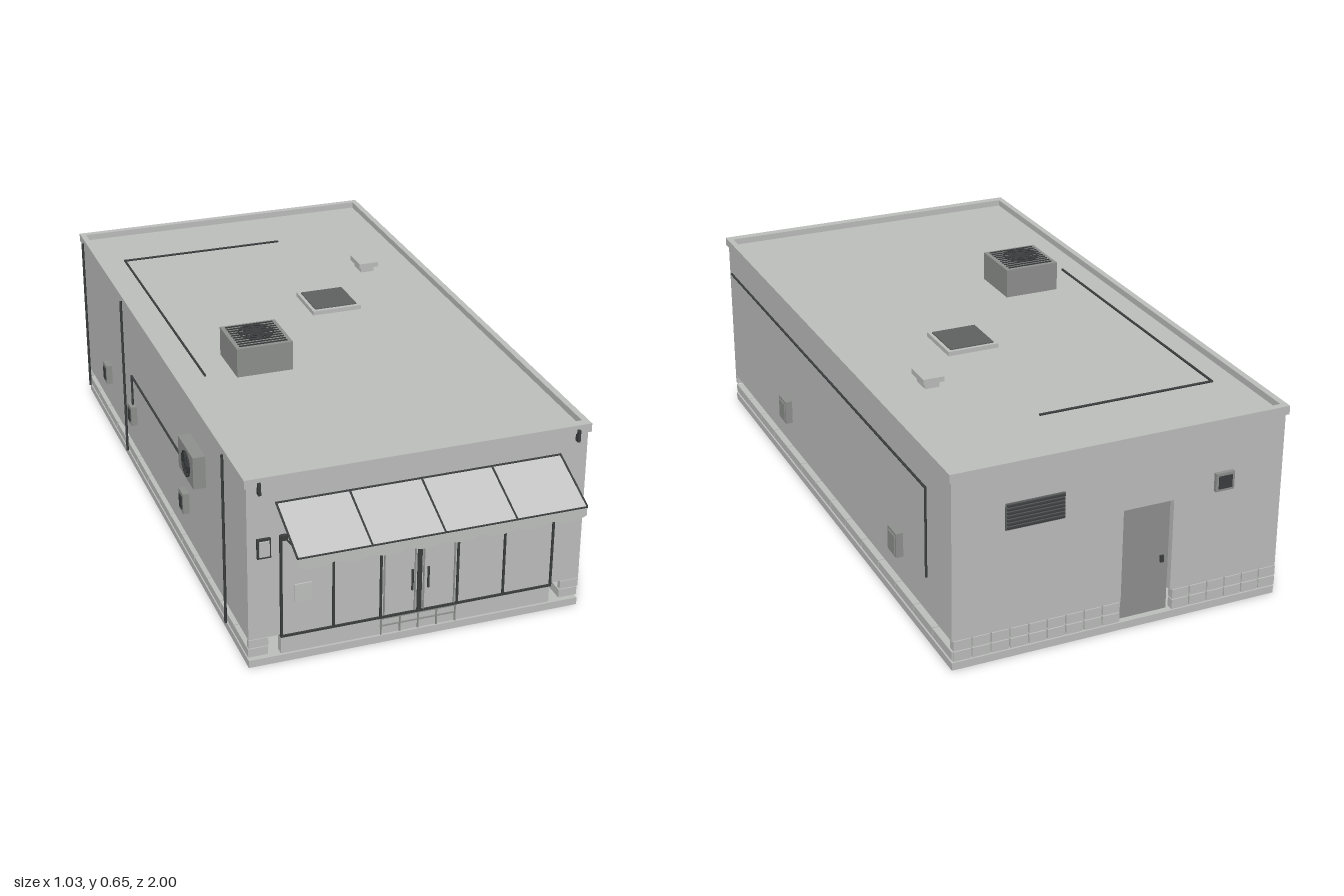
import * as THREE from 'three';

const mat = (name, color) => new THREE.MeshStandardMaterial({ name, color });

export function createModel() {
  const root = new THREE.Group();
  root.name = 'shopBuilding';
  const wall = mat('wallGrey', 0xbfc1bf);
  const awningMat = mat('awningGrey', 0xc2c4c2);
  awningMat.side = THREE.DoubleSide;
  const metal = mat('metalGrey', 0x909290);
  const dark = mat('charcoal', 0x3c3e3f);
  const grille = mat('grilleGrey', 0x606363);

  let parent = root;
  const part = (name) => {
    parent = new THREE.Group();
    parent.name = name;
    root.add(parent);
  };
  const add = (name, geo, m) => {
    const mesh = new THREE.Mesh(geo, m);
    mesh.name = name;
    parent.add(mesh);
    return mesh;
  };
  // box given by its limits on each axis
  const box = (name, m, x0, x1, y0, y1, z0, z1) => {
    const b = add(name, new THREE.BoxGeometry(x1 - x0, y1 - y0, z1 - z0), m);
    b.position.set((x0 + x1) / 2, (y0 + y1) / 2, (z0 + z1) / 2);
    return b;
  };
  // round bars through a list of points
  const pipe = (name, m, r, ...pts) => {
    for (let i = 0; i + 1 < pts.length; i++) {
      const a = new THREE.Vector3(...pts[i]), b = new THREE.Vector3(...pts[i + 1]);
      const d = b.clone().sub(a);
      const c = add(name, new THREE.CylinderGeometry(r, r, d.length() + r, 8), m);
      c.position.copy(a).add(b).multiplyScalar(0.5);
      c.quaternion.setFromUnitVectors(new THREE.Vector3(0, 1, 0), d.normalize());
    }
  };
  // fan lying in its own xy plane: rings, hub and blades
  const fan = (name, r, blades) => {
    const g = new THREE.Group();
    g.name = name;
    const outer = parent;
    outer.add(g);
    parent = g;
    for (const k of [1, 0.7, 0.4]) add('fanRing', new THREE.TorusGeometry(r * k, 0.0025, 6, 28), dark);
    add('fanHub', new THREE.CylinderGeometry(r * 0.22, r * 0.22, 0.006, 16), dark).rotation.x = Math.PI / 2;
    for (let i = 0; i < blades; i++) {
      const a = (i / blades) * Math.PI * 2;
      const b = add('fanBlade', new THREE.BoxGeometry(r * 0.8, r * 0.2, 0.003), dark);
      b.position.set(Math.cos(a) * r * 0.55, Math.sin(a) * r * 0.55, 0);
      b.rotation.z = a;
    }
    parent = outer;
    return g;
  };

  // ground slab
  part('foundation');
  box('slab', wall, -0.475, 0.49, 0, 0.022, -0.985, 0.825);
  // brick skirt: one course along the sides, two at the corners and the back
  for (const [x0, x1] of [[-0.475, -0.42], [0.435, 0.49]]) {
    for (let i = 0; i < 14; i++) {
      const z = -0.983 + i * 0.129;
      box('sideBrick', wall, x0, x1, 0.03, 0.055, z, z + 0.126);
    }
    box('cornerBrick', wall, x0, x1, 0.061, 0.085, 0.81, 0.825);
  }
  for (const [x0, x1, n] of [[-0.475, -0.15, 6], [0.005, 0.49, 9]]) {
    const w = (x1 - x0) / n;
    for (let row = 0; row < 2; row++)
      for (let i = 0; i < n; i++)
        box('backBrick', wall, x0 + i * w, x0 + (i + 1) * w - 0.004,
          0.027 + row * 0.031, 0.055 + row * 0.031, -0.987, -0.965);
  }

  // walls around a hollow room
  part('walls');
  box('leftWall', wall, 0.46, 0.49, 0.087, 0.55, -0.985, 0.825);
  box('rightWall', wall, -0.475, -0.445, 0.087, 0.55, -0.985, 0.825);
  box('frontWall', wall, -0.445, 0.46, 0.087, 0.55, 0.79, 0.825);
  box('backWallLeft', wall, 0.002, 0.46, 0.087, 0.55, -0.985, -0.955);
  box('backWallRight', wall, -0.445, -0.147, 0.087, 0.55, -0.985, -0.955);
  box('backWallHeader', wall, -0.147, 0.002, 0.36, 0.55, -0.985, -0.955);
  box('floor', wall, -0.445, 0.46, 0.087, 0.095, -0.95, 0.79);
  box('backDoor', metal, -0.147, 0.002, 0.022, 0.36, -0.966, -0.955);
  box('doorKnob', dark, -0.132, -0.122, 0.17, 0.19, -0.972, -0.966);

  // flat roof inside a raised rim
  part('roof');
  box('roofDeck', wall, -0.47, 0.485, 0.54, 0.553, -0.98, 0.82);
  for (const [x0, x1] of [[-0.482, -0.464], [0.479, 0.497]])
    box('rim', wall, x0, x1, 0.547, 0.572, -0.992, 0.832);
  for (const [z0, z1] of [[-0.992, -0.972], [0.806, 0.832]])
    box('rim', wall, -0.464, 0.479, 0.547, 0.572, z0, z1);
  pipe('roofCable', dark, 0.0035, [-0.39, 0.557, 0.17], [-0.39, 0.557, -0.745], [0.13, 0.557, -0.745]);

  // roof cooling unit
  part('roofUnit');
  box('unitCase', metal, -0.305, -0.138, 0.55, 0.64, 0.04, 0.207);
  for (let i = 0; i < 10; i++) {
    const z = 0.055 + i * 0.0152;
    box('unitSlat', dark, -0.293, -0.15, 0.64, 0.643, z - 0.002, z + 0.002);
  }
  const top = fan('unitFan', 0.05, 8);
  top.position.set(-0.222, 0.648, 0.123);
  top.rotation.x = -Math.PI / 2;

  // skylight and small vent
  part('roofVents');
  box('skylightFrame', wall, 0.043, 0.197, 0.55, 0.566, -0.292, -0.135);
  box('skylightPane', grille, 0.053, 0.187, 0.566, 0.569, -0.282, -0.147);
  box('ventStem', wall, 0.3, 0.342, 0.55, 0.572, -0.468, -0.408);
  box('ventCap', wall, 0.29, 0.352, 0.572, 0.587, -0.48, -0.395);

  // glazed shop front
  part('shopFront');
  box('glazing', wall, -0.385, 0.402, 0.085, 0.39, 0.825, 0.828);
  for (const x of [-0.384, -0.238, -0.103, 0.12, 0.257, 0.401])
    box('mullion', dark, x - 0.003, x + 0.003, 0.083, 0.39, 0.824, 0.833);
  box('sill', dark, -0.387, 0.404, 0.081, 0.087, 0.82, 0.833);
  box('headRail', dark, -0.387, 0.404, 0.387, 0.392, 0.82, 0.833);
  box('doorHead', dark, -0.103, 0.12, 0.372, 0.377, 0.824, 0.832);
  box('doorMeeting', dark, 0.002, 0.015, 0.087, 0.375, 0.824, 0.832);
  for (const x of [-0.093, -0.004, 0.021, 0.111])
    box('doorStile', metal, x - 0.002, x + 0.002, 0.087, 0.372, 0.826, 0.831);
  for (const x of [-0.015, 0.031])
    pipe('doorHandle', dark, 0.0035, [x, 0.16, 0.838], [x, 0.22, 0.838]);
  box('poster', awningMat, -0.348, -0.298, 0.185, 0.237, 0.828, 0.832);
  box('frontPlinth', wall, -0.385, 0.402, 0.027, 0.081, 0.8, 0.825);
  // ramp rails in front of the doors
  for (const y of [0.053, 0.075]) box('lowRail', metal, -0.103, 0.12, y, y + 0.003, 0.825, 0.829);
  for (const x of [-0.1, -0.045, 0.008, 0.062, 0.117])
    box('railPost', metal, x - 0.002, x + 0.002, 0.027, 0.08, 0.825, 0.829);
  // wall lamps and upper brackets
  for (const s of [-1, 1]) {
    const x = 0.0075 + s * 0.438;
    box('lampFrame', dark, x - 0.019, x + 0.019, 0.334, 0.392, 0.825, 0.833);
    box('lampGlass', wall, x - 0.014, x + 0.014, 0.341, 0.386, 0.833, 0.837);
    const b = 0.0075 + s * 0.45;
    box('bracket', dark, b - 0.004, b + 0.004, 0.525, 0.56, 0.825, 0.84);
  }

  // sloping awning with ribs, struts and a scalloped valance
  part('awning');
  const x0 = -0.395, x1 = 0.41;
  const sheet = add('awningSheet', new THREE.BoxGeometry(x1 - x0, 0.003, Math.hypot(0.17, 0.07)), awningMat);
  sheet.position.set((x0 + x1) / 2, 0.455, 0.911);
  sheet.rotation.x = Math.atan2(0.07, 0.17);
  for (let i = 0; i < 5; i++) {
    const x = x0 + ((x1 - x0) * i) / 4;
    pipe('awningRib', dark, 0.003, [x, 0.491, 0.827], [x, 0.421, 0.995]);
  }
  pipe('awningTopRail', dark, 0.003, [x0, 0.491, 0.828], [x1, 0.491, 0.828]);
  pipe('awningFrontRail', dark, 0.0025, [x0, 0.419, 0.997], [x1, 0.419, 0.997]);
  for (const x of [-0.375, 0.39]) {
    pipe('awningStrut', dark, 0.0025, [x, 0.419, 0.995], [x, 0.386, 0.828]);
    box('strutFoot', dark, x - 0.008, x + 0.008, 0.38, 0.394, 0.825, 0.838);
  }
  const valance = new THREE.Shape();
  valance.moveTo(x0, 0.419);
  valance.lineTo(x0, 0.394);
  const w = (x1 - x0) / 8;
  for (let i = 0; i < 8; i++)
    valance.quadraticCurveTo(x0 + (i + 0.5) * w, 0.37, x0 + (i + 1) * w, 0.394);
  valance.lineTo(x1, 0.419);
  add('valance', new THREE.ShapeGeometry(valance, 6), awningMat).position.z = 0.998;

  // left wall: cable and two boxes
  part('leftServices');
  pipe('leftCable', dark, 0.0035, [0.499, 0.465, 0.78], [0.499, 0.465, -0.84], [0.499, 0.205, -0.84]);
  for (const z of [0.27, -0.63]) {
    box('meterBox', metal, 0.49, 0.511, 0.168, 0.24, z - 0.03, z + 0.03);
    box('meterCover', metal, 0.511, 0.514, 0.176, 0.232, z - 0.023, z + 0.023);
  }

  // right wall: downpipes, cable, boxes and cooling unit
  part('rightServices');
  for (const z of [-0.93, -0.42, 0.655])
    pipe('downpipe', dark, 0.004, [-0.487, 0.045, z], [-0.487, 0.558, z]);
  pipe('rightCable', dark, 0.0035, [-0.482, 0.235, -0.34], [-0.482, 0.34, -0.34], [-0.482, 0.34, 0.32], [-0.482, 0.37, 0.32]);
  for (const z of [-0.66, -0.34, 0.25]) {
    box('socketBox', metal, -0.494, -0.475, 0.178, 0.242, z - 0.022, z + 0.022);
    box('socketCover', dark, -0.497, -0.494, 0.19, 0.23, z - 0.013, z + 0.013);
  }
  box('wallUnit', metal, -0.511, -0.475, 0.355, 0.452, 0.305, 0.452);
  const side = fan('wallUnitFan', 0.036, 6);
  side.position.set(-0.513, 0.403, 0.385);
  side.rotation.y = -Math.PI / 2;

  // back wall louvre and control box
  part('backServices');
  box('louvreBack', grille, 0.175, 0.342, 0.38, 0.455, -0.99, -0.985);
  for (let i = 0; i < 7; i++) {
    const y = 0.385 + i * 0.0105;
    box('louvreSlat', dark, 0.178, 0.339, y, y + 0.004, -0.996, -0.99);
  }
  box('controlBox', metal, -0.322, -0.266, 0.362, 0.415, -0.996, -0.985);
  box('controlCover', dark, -0.314, -0.274, 0.37, 0.407, -0.999, -0.996);

  return root;
}
